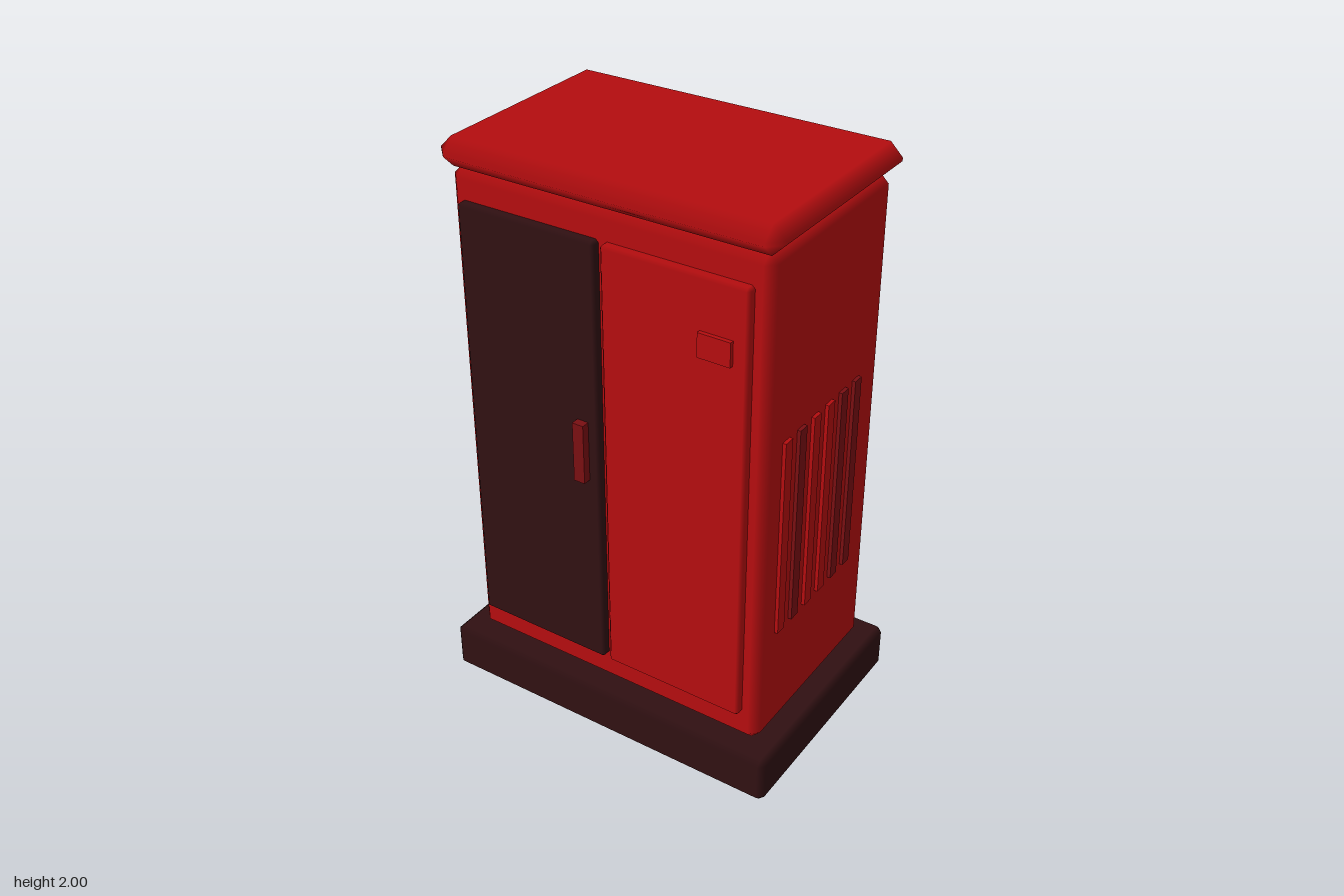
import * as THREE from 'three';
import { ConvexGeometry } from 'three/addons/geometries/ConvexGeometry.js';

// Box with single-cut edges; shading is flat on the faces and blends over the cuts.
function chamferBox(w, h, d, c) {
  const half = [w / 2, h / 2, d / 2];
  const points = [];
  for (const sx of [-1, 1]) for (const sy of [-1, 1]) for (const sz of [-1, 1]) {
    for (let axis = 0; axis < 3; axis++) {
      const p = [sx, sy, sz].map((s, i) => s * (half[i] - (i === axis ? 0 : c)));
      points.push(new THREE.Vector3(...p));
    }
  }
  const geometry = new ConvexGeometry(points);
  const pos = geometry.attributes.position, normal = geometry.attributes.normal;
  for (let i = 0; i < pos.count; i++) {
    const p = [pos.getX(i), pos.getY(i), pos.getZ(i)];
    const gaps = p.map((v, k) => half[k] - Math.abs(v));
    const axis = gaps.indexOf(Math.min(...gaps));
    normal.setXYZ(i, ...p.map((v, k) => (k === axis ? Math.sign(v) : 0)));
  }
  return geometry;
}

export function createModel() {
  const group = new THREE.Group();
  const material = (name, color) => {
    const m = new THREE.MeshStandardMaterial({ color });
    m.name = name;
    return m;
  };
  const red = material('red', 0xb50d0f);
  const darkRed = material('dark red', 0x7a0f12);
  const darkBrown = material('dark brown', 0x301012);

  // Adds a box given its extents along x, y and z
  const add = (name, mat, [x0, x1], [y0, y1], [z0, z1], chamfer = 0) => {
    const size = [x1 - x0, y1 - y0, z1 - z0];
    const geometry = chamfer ? chamferBox(...size, chamfer) : new THREE.BoxGeometry(...size);
    const mesh = new THREE.Mesh(geometry, mat);
    mesh.name = name;
    mesh.position.set((x0 + x1) / 2, (y0 + y1) / 2, (z0 + z1) / 2);
    group.add(mesh);
  };

  // Main housing
  add('base', darkBrown, [-0.63, 0.63], [0, 0.17], [-0.42, 0.42], 0.02);
  add('cabinet', red, [-0.56, 0.56], [0.17, 1.905], [-0.35, 0.35], 0.03);
  add('roof', red, [-0.59, 0.59], [1.905, 2], [-0.38, 0.38], 0.042);

  // Doors and their fittings
  add('darkDoor', darkBrown, [-0.512, -0.012], [0.285, 1.81], [0.34, 0.38], 0.01);
  add('redDoor', red, [0.008, 0.507], [0.285, 1.81], [0.34, 0.38], 0.01);
  add('handle', darkRed, [-0.087, -0.047], [0.99, 1.2], [0.37, 0.408]);
  add('doorPlate', red, [0.35, 0.46], [1.56, 1.64], [0.37, 0.394]);

  // Vent slats on one side
  [red, darkRed, red, red, darkRed, darkRed].forEach((mat, i) => {
    const z = 0.235 - i * 0.085;
    add('ventSlat', mat, [0.55, 0.572], [0.57, 1.275], [z - 0.02, z + 0.02]);
  });

  return group;
}
